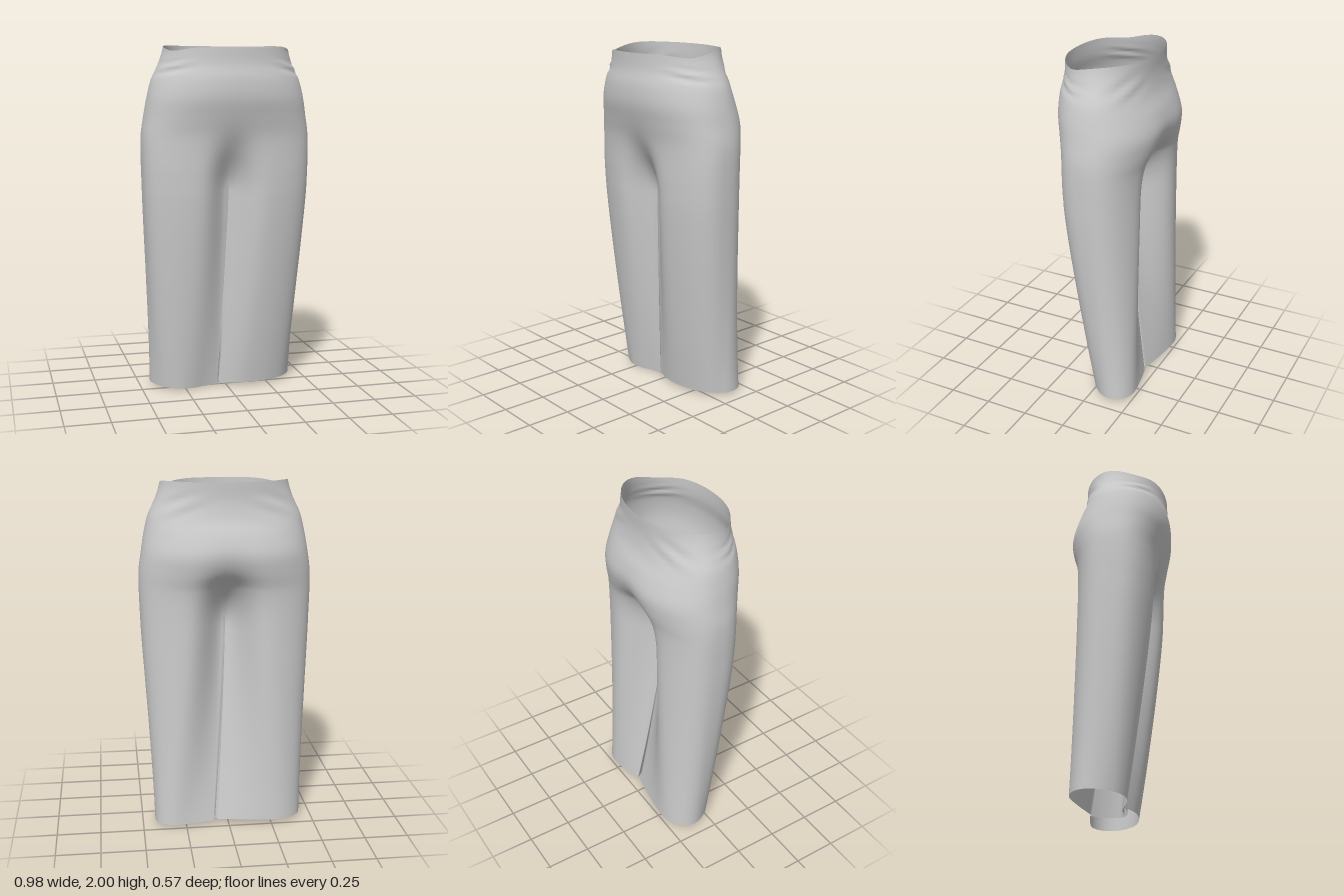
import * as THREE from 'three';
import { mergeGeometries, mergeVertices } from 'three/addons/utils/BufferGeometryUtils.js';

const CROTCH = 1.4, LEG_TOP = 1.2;

// hip sections every 0.1 from y = 1.2:
// half width, front z, back z, side z, front squareness, back squareness, front crease, back crease
const HIPS = [
  [0.485, 0.217, -0.245, -0.01, 0.72, 0.80, 0.13, 0.205],
  [0.488, 0.222, -0.247, -0.01, 0.72, 0.82, 0.10, 0.175],
  [0.49, 0.226, -0.255, -0.01, 0.74, 0.85, 0.05, 0.11],
  [0.487, 0.236, -0.283, -0.01, 0.78, 0.92, 0.012, 0.04],
  [0.472, 0.26, -0.296, -0.01, 0.82, 0.94, 0, 0.014],
  [0.455, 0.285, -0.27, 0, 0.88, 0.95, 0, 0.003],
  [0.43, 0.287, -0.229, 0, 0.92, 0.95, 0, 0],
  [0.388, 0.272, -0.213, 0.01, 0.95, 0.95, 0, 0],
  [0.36, 0.27, -0.215, 0.02, 0.95, 0.95, 0, 0],
];

// hem outlines [x, z]: outer from front seam to back seam, inner from back seam to front seam
const HEMS = {
  left: {
    outer: [[-0.055, 0.02], [0.05, 0.055], [0.15, 0.06], [0.26, 0.04], [0.36, -0.01],
      [0.425, -0.1], [0.41, -0.19], [0.33, -0.237], [0.2, -0.225], [0.08, -0.2]],
    inner: [[0.08, -0.2], [0.115, -0.15], [0.14, -0.09], [0.135, -0.02], [0.06, 0.012], [-0.055, 0.02]],
  },
  right: {
    outer: [[-0.05, 0], [-0.13, 0.025], [-0.22, 0.055], [-0.3, 0.055], [-0.38, 0.01],
      [-0.435, -0.09], [-0.41, -0.18], [-0.3, -0.237], [-0.12, -0.225], [0.06, -0.195]],
    inner: [[0.06, -0.195], [0.095, -0.15], [0.12, -0.09], [0.115, -0.035], [0.05, -0.004], [-0.05, 0]],
  },
};

const spline = (pts) => new THREE.SplineCurve(pts.map(([x, z]) => new THREE.Vector2(x, z)));
const bell = (v, width) => Math.exp(-((v / width) ** 2));
// angle round the half hip, closer spaced towards the centre seams
const hipAngle = (u) => Math.PI * (u - 0.11 * Math.sin(2 * Math.PI * u));

// smooth lookup in the hip table
function hipRow(y) {
  const f = THREE.MathUtils.clamp((y - LEG_TOP) * 10, 0, HIPS.length - 1);
  const i = Math.min(Math.floor(f), HIPS.length - 2), t = f - i;
  const row = (k) => HIPS[THREE.MathUtils.clamp(k, 0, HIPS.length - 1)];
  return row(i).map((b, c) => {
    const a = row(i - 1)[c], d = row(i + 1)[c], e = row(i + 2)[c];
    return b + 0.5 * t * (d - a + t * (2 * a - 5 * b + 4 * d - e + t * (3 * (b - d) + e - a)));
  });
}

// half hip section; u runs from the front centre round the side to the back centre
function hipPoint(u, y, sign) {
  const [w, zf, zb, zs, ef, eb, cf, cb] = hipRow(y);
  const a = hipAngle(u), s = u === 0 || u === 1 ? 0 : Math.sin(a), c = Math.cos(a);
  const front = c > 0, e = front ? ef : eb;
  const x = w * Math.pow(s, e);
  let z = zs + ((front ? zf : zb) - zs) * Math.pow(Math.abs(c), e);
  z -= front ? cf * bell(x, 0.11) : -cb * bell(x, 0.13);
  // gathered folds below the waist at the sides
  const fold = 0.009 * Math.sin(y * 95 + a * 4) * bell(a - 1.05, 0.35) * bell(y - 1.88, 0.04)
    + 0.006 * Math.sin(y * 60 - a * 9) * bell(a - 2.4, 0.35) * bell(y - 1.87, 0.06);
  return new THREE.Vector2(sign * (x + fold * s), z + fold * c);
}

// waist edge dips at the front sides; hem waves a little
function edgeHeight(u, y, sign) {
  const top = Math.max(0, (y - 1.8) / 0.2), low = Math.max(0, 1 - y / 0.3);
  const a = hipAngle(u);
  const dip = 0.01 * (1 + Math.cos(a)) + 0.022 * bell(a - 1.15, 0.4) - 0.005 * bell(a - 2.0, 0.5) + 0.005;
  return y - top * dip + low * (sign > 0 ? 0.016 : 0.02 * Math.sin(a * 0.5));
}

// grid surface, wound to face outwards on either side
function sheet(fn, nu, nv, sign) {
  const pos = [], index = [];
  for (let j = 0; j <= nv; j++)
    for (let i = 0; i <= nu; i++) pos.push(...fn(i / nu, j));
  for (let j = 0; j < nv; j++)
    for (let i = 0; i < nu; i++) {
      const a = j * (nu + 1) + i, b = a + 1, c = a + nu + 1, d = c + 1;
      if (sign > 0) index.push(a, b, c, b, d, c);
      else index.push(a, c, b, b, c, d);
    }
  const g = new THREE.BufferGeometry();
  g.setAttribute('position', new THREE.Float32BufferAttribute(pos, 3));
  g.setIndex(index);
  return g;
}

function trouserHalf(side) {
  const sign = side === 'left' ? 1 : -1;
  const outerHem = spline(HEMS[side].outer), innerHem = spline(HEMS[side].inner);
  const LOW = 32, HIGH = 30;

  // the leg keeps its hip section a little longer than a straight taper
  const outerPoint = (u, y) => {
    if (y >= LEG_TOP) return hipPoint(u, y, sign);
    return hipPoint(u, LEG_TOP, sign).lerp(outerHem.getPoint(u), Math.pow(1 - y / LEG_TOP, 1.2));
  };

  // outside of the leg running up into the hip
  const outer = sheet((u, j) => {
    const y = j <= LOW ? (CROTCH * j) / LOW : CROTCH + ((2 - CROTCH) * (j - LOW)) / HIGH;
    const p = outerPoint(u, y);
    return [p.x, edgeHeight(u, y, sign), p.y];
  }, 64, LOW + HIGH, sign);

  // inside of the leg, rising to the saddle of the crotch
  const hemStart = innerHem.getPoint(0), hemEnd = innerHem.getPoint(1);
  const inner = sheet((u, j) => {
    const t = j / LOW, y = CROTCH * t, arch = Math.sin(Math.PI * u);
    const p = outerPoint(1, y).lerp(outerPoint(0, y), u);
    const bulge = innerHem.getPoint(u).sub(hemStart.clone().lerp(hemEnd, u));
    p.addScaledVector(bulge, Math.pow(1 - t, 1.2));
    p.x += sign * 0.008 * arch * Math.sin(Math.PI * t);
    return [p.x, edgeHeight(1 - u, y, sign) - 0.11 * t * arch, p.y];
  }, 24, LOW, sign);

  return [outer, inner];
}

export function createModel() {
  const group = new THREE.Group();
  group.name = 'trousers';

  // both halves are welded so the centre seam shades smoothly
  const cloth = mergeVertices(mergeGeometries([...trouserHalf('left'), ...trouserHalf('right')]), 1e-4);
  cloth.computeVertexNormals();

  const mesh = new THREE.Mesh(cloth, new THREE.MeshStandardMaterial({ color: 0xcccccc, side: THREE.DoubleSide }));
  mesh.name = 'trouserCloth';
  group.add(mesh);
  return group;
}
